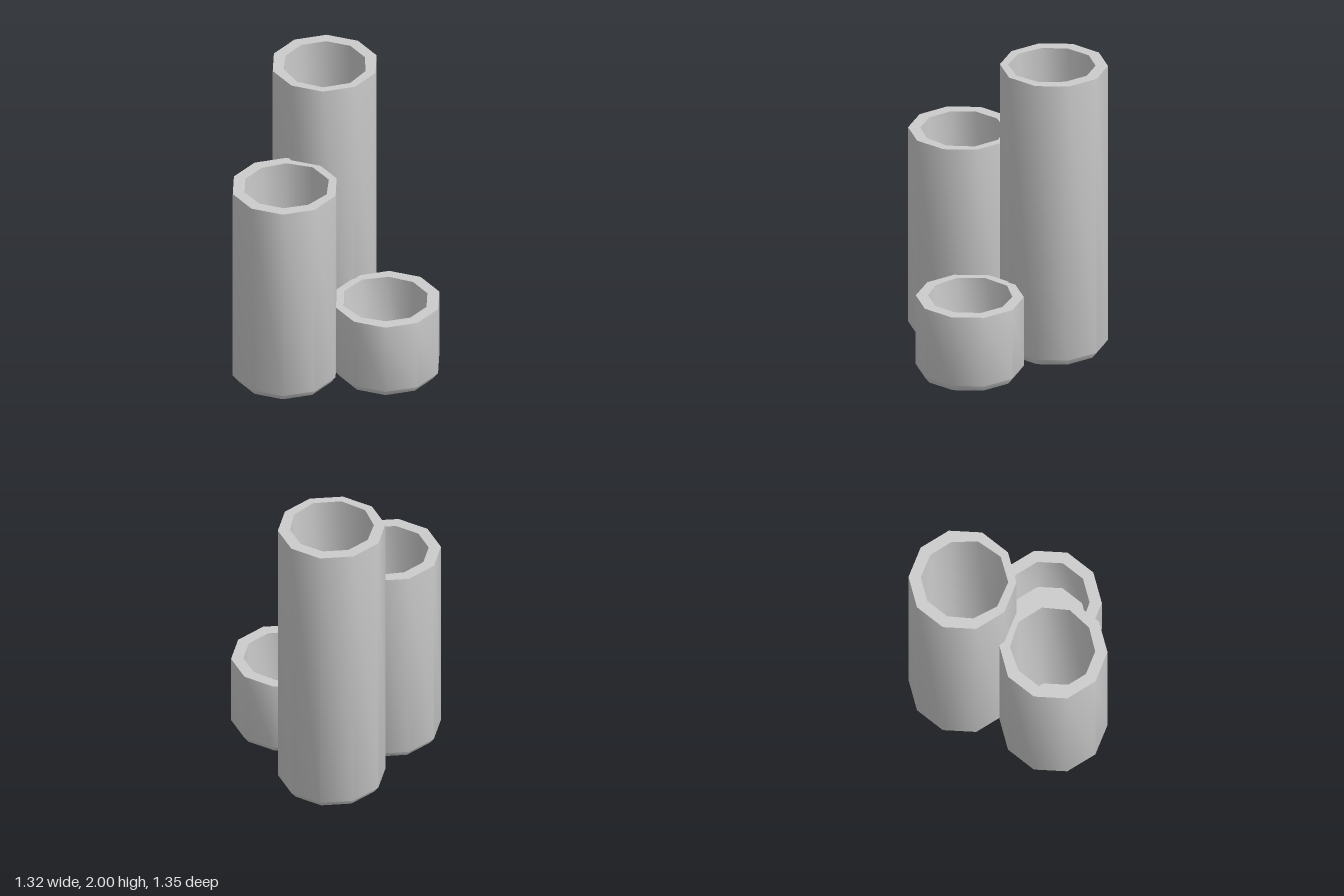
import * as THREE from 'three';
import { toCreasedNormals } from 'three/addons/utils/BufferGeometryUtils.js';

const SIDES = 10;
const OUTER = 0.351, FOOT = 0.318, INNER = 0.271, FLOOR = 0.264;
const CHAMFER = 0.045, FLOOR_Y = 0.08;

// Ten-sided cup with a chamfered foot; the bore flares a little towards the middle of the group.
function cupGeometry(x, z, height) {
  const profile = [
    [0, 0], [FOOT, 0], [OUTER, CHAMFER], [OUTER, height],
    [INNER, height], [FLOOR, FLOOR_Y], [0, FLOOR_Y],
  ].map(([r, y]) => new THREE.Vector2(r, y));
  const geometry = new THREE.LatheGeometry(profile, SIDES, THREE.MathUtils.degToRad(94));

  const inward = new THREE.Vector2(-x, -z).normalize();
  const p = geometry.attributes.position;
  for (let i = 0; i < p.count; i++) {
    const r = Math.hypot(p.getX(i), p.getZ(i));
    if (p.getY(i) < height - 0.001 || r > 0.3) continue;
    const facing = (p.getX(i) * inward.x + p.getZ(i) * inward.y) / r;
    const scale = 1 + 0.1 * Math.max(0, facing);
    p.setX(i, p.getX(i) * scale);
    p.setZ(i, p.getZ(i) * scale);
  }
  return toCreasedNormals(geometry, 0.7);
}

export function createModel() {
  const group = new THREE.Group();
  group.name = 'penHolder';
  const grey = new THREE.MeshStandardMaterial({ color: 0xcccccc });
  grey.name = 'light grey';

  const cups = [
    ['tallCup', 0.305, -0.335, 2],
    ['middleCup', -0.312, -0.128, 1.43],
    ['shortCup', 0.172, 0.332, 0.535],
  ];
  for (const [name, x, z, height] of cups) {
    const cup = new THREE.Mesh(cupGeometry(x, z, height), grey);
    cup.name = name;
    cup.position.set(x, 0, z);
    group.add(cup);
  }
  return group;
}
